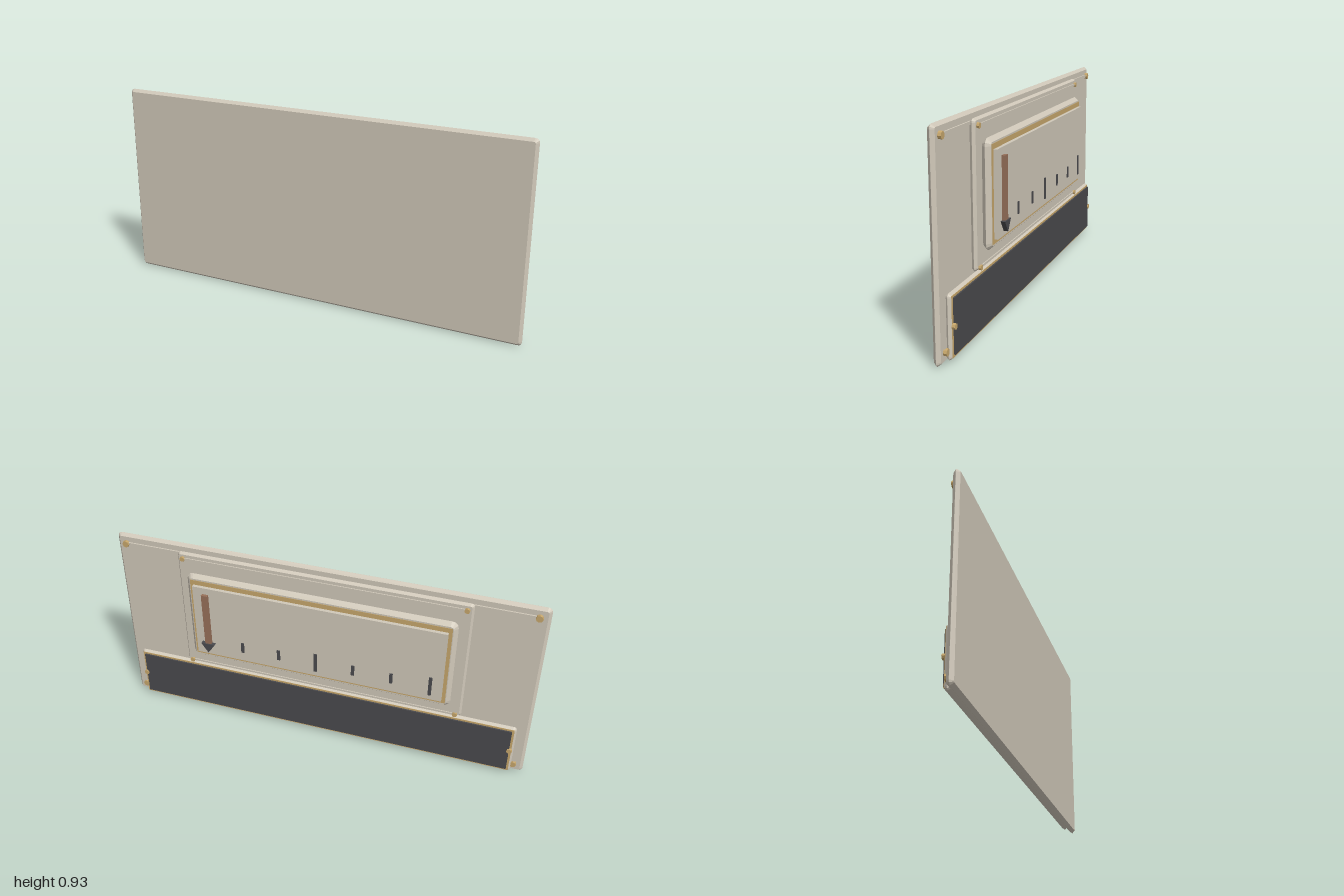
import * as THREE from 'three';

const mat = (name, color) => {
  const m = new THREE.MeshStandardMaterial({ color });
  m.name = name;
  return m;
};

export function createModel() {
  const stone = mat('warm stone', 0xd0c8b9);
  const brass = mat('brass', 0xc7a76c);
  const dark = mat('charcoal', 0x4a4a4d);
  const copper = mat('copper brown', 0x977059);
  const group = new THREE.Group();

  const add = (name, geo, material, x = 0, y = 0, z = 0) => {
    const m = new THREE.Mesh(geo, material);
    m.name = name;
    m.position.set(x, y, z);
    group.add(m);
    return m;
  };

  // Box given by its centre x, y range and z range
  const box = (name, material, x, w, y0, y1, z0, z1) =>
    add(name, new THREE.BoxGeometry(w, y1 - y0, z1 - z0), material, x, (y0 + y1) / 2, (z0 + z1) / 2);

  // Plate whose rim tapers to a ridge halfway through its thickness
  const slab = (name, halfW, y0, y1, z0, z1, bevel, r) => {
    const a = halfW - bevel, b = (y1 - y0) / 2 - bevel;
    const s = new THREE.Shape();
    s.moveTo(-a + r, -b);
    s.lineTo(a - r, -b).quadraticCurveTo(a, -b, a, -b + r);
    s.lineTo(a, b - r).quadraticCurveTo(a, b, a - r, b);
    s.lineTo(-a + r, b).quadraticCurveTo(-a, b, -a, b - r);
    s.lineTo(-a, -b + r).quadraticCurveTo(-a, -b, -a + r, -b);
    const depth = 0.001;
    const geo = new THREE.ExtrudeGeometry(s, {
      depth, bevelEnabled: true, bevelSegments: 1, curveSegments: 3,
      bevelSize: bevel, bevelThickness: (z1 - z0 - depth) / 2,
    });
    geo.translate(0, 0, -depth / 2);
    return add(name, geo, stone, 0, (y0 + y1) / 2, (z0 + z1) / 2);
  };

  const bolt = (name, x, y, r, z0, z1) => {
    const geo = new THREE.CylinderGeometry(r, r, z1 - z0, 8).toNonIndexed();
    geo.rotateX(Math.PI / 2);
    geo.computeVertexNormals();
    add(name, geo, brass, x, y, (z0 + z1) / 2);
  };

  // Thin rails joining four corner bolts
  const boltedFrame = (name, x, y0, y1, w, r, railZ, surfaceZ, boltZ0, boltZ1) => {
    for (const side of [-1, 1]) {
      box(name + 'SideRail', stone, side * x, w, y0, y1, railZ, surfaceZ);
      for (const y of [y0, y1]) bolt(name + 'Bolt', side * x, y, r, boltZ0, boltZ1);
    }
    for (const y of [y0, y1]) box(name + 'CrossRail', stone, 0, 2 * x, y - w / 2, y + w / 2, railZ, surfaceZ);
  };

  // Main board and its frame
  slab('mainBoard', 1, 0, 0.932, 0.037, 0.067, 0.013, 0.008);
  boltedFrame('boardFrame', 0.953, 0.05, 0.886, 0.014, 0.016, 0.03, 0.038, 0.022, 0.038);

  // Upper and lower rear panels
  slab('upperPanel', 0.685, 0.281, 0.903, 0.012, 0.037, 0.009, 0.008);
  boltedFrame('panelFrame', 0.657, 0.295, 0.874, 0.01, 0.012, 0.007, 0.013, 0.001, 0.013);
  slab('lowerPanel', 0.945, 0.008, 0.28, 0.012, 0.037, 0.009, 0.008);

  // Dark inlay on a brass border
  box('inlayBorder', brass, 0, 1.872, 0.02, 0.271, 0.01, 0.0125);
  box('darkInlay', dark, 0, 1.852, 0.031, 0.262, 0.003, 0.0125);
  for (const side of [-1, 1]) bolt('inlayBolt', side * 0.927, 0.148, 0.013, -0.002, 0.012);

  // Raised housing with brass border and gauge face
  slab('housing', 0.632, 0.354, 0.817, -0.027, 0.0125, 0.017, 0.016);
  box('housingBorder', brass, 0, 1.222, 0.378, 0.793, -0.0285, -0.0265);
  box('gaugeFace', stone, 0, 1.19, 0.398, 0.77, -0.045, -0.027);

  // Scale marks, every third one long
  for (let i = 0; i < 6; i++) {
    const half = i % 3 === 0 ? 0.05 : 0.027;
    box('scaleMark', dark, -0.54 + i * 0.18, 0.015, 0.474 - half, 0.474 + half, -0.05, -0.044);
  }

  // Downward pointer
  box('pointerShaft', copper, 0.532, 0.03, 0.463, 0.738, -0.06, -0.044);
  const tip = new THREE.Shape();
  tip.moveTo(-0.034, 0.467);
  tip.lineTo(0, 0.418);
  tip.lineTo(0.034, 0.467);
  add('pointerHead', new THREE.ExtrudeGeometry(tip, { depth: 0.021, bevelEnabled: false }), dark, 0.532, 0, -0.065);

  return group;
}
